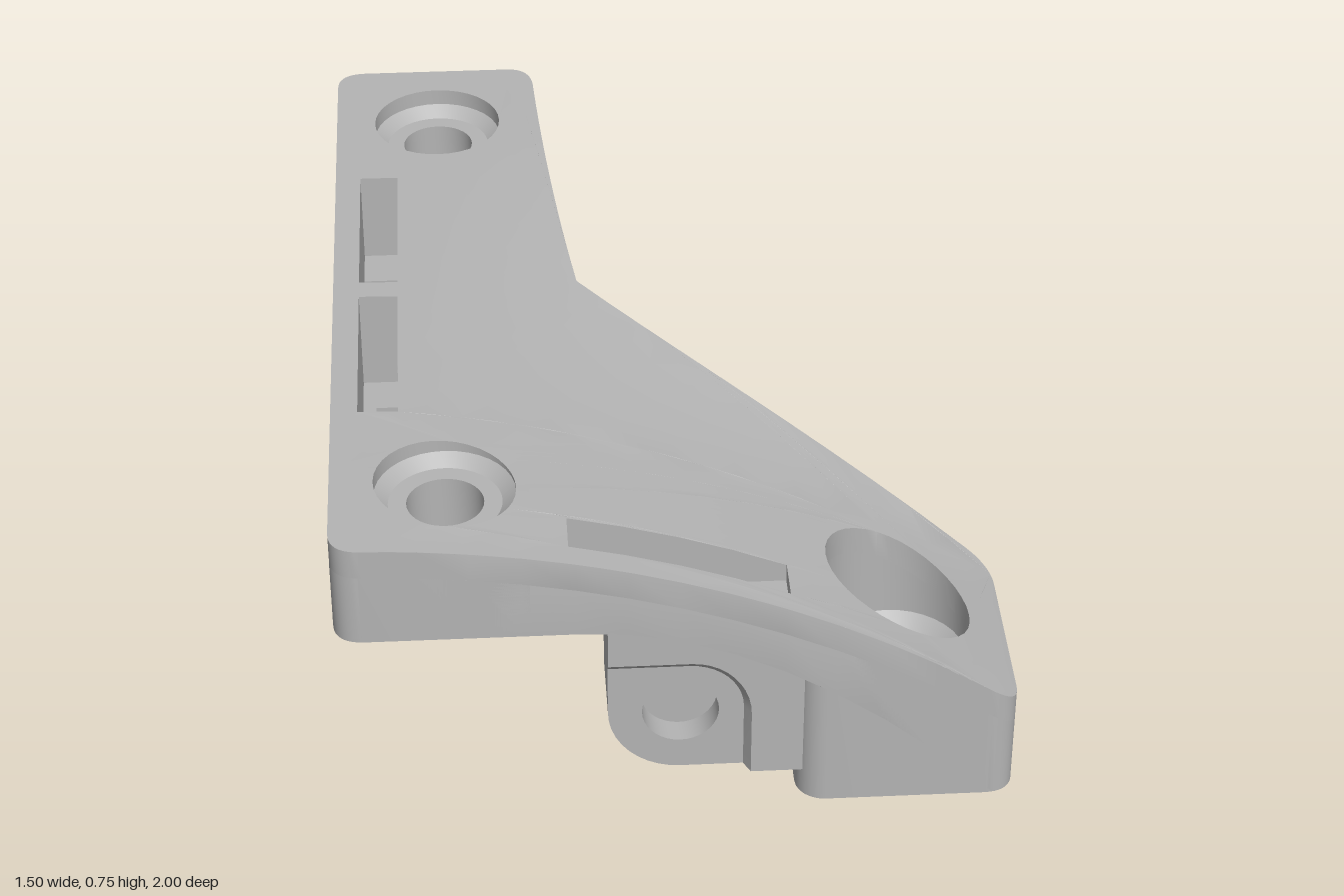
import * as THREE from 'three';
import { toCreasedNormals } from 'three/addons/utils/BufferGeometryUtils.js';

const V = (x, y) => new THREE.Vector2(x, y);
const STEP = 0.13, SKIN = 0.07, WALL = 0.04;
const { clamp, smoothstep } = THREE.MathUtils;

// Domed top surface, its inner ceiling, and the arched underside
const top = (x, z) => {
  const d = x + 0.75;
  const drop = 2.52 - Math.sqrt(2.52 * 2.52 - d * d);
  return 0.745 - drop * smoothstep(z, -0.8, 0.6);
};
const ceiling = (x, z) => top(x, z) - SKIN;
const under = (x) => 0.5 - 0.5 * Math.pow(clamp((x + 0.2) / 0.9, 0, 1), 1.85);

// Plan outlines, as points (x, z)
const circle = (cx, cz, r, n = 36) => Array.from({ length: n }, (_, i) =>
  V(cx + r * Math.cos(i / n * Math.PI * 2), cz + r * Math.sin(i / n * Math.PI * 2)));
const rect = (x0, z0, x1, z1) => [V(x0, z0), V(x1, z0), V(x1, z1), V(x0, z1)];
function roundRect(x0, z0, x1, z1, r) {
  const pts = [];
  [[x1 - r, z1 - r], [x0 + r, z1 - r], [x0 + r, z0 + r], [x1 - r, z0 + r]].forEach(([cx, cz], k) => {
    for (let i = 0; i <= 6; i++) {
      const a = (k + i / 6) * Math.PI / 2;
      pts.push(V(cx + r * Math.cos(a), cz + r * Math.sin(a)));
    }
  });
  return pts;
}
function bracketOutline() {
  const s = new THREE.Shape();
  s.moveTo(-0.68, -1).lineTo(-0.32, -1);
  s.quadraticCurveTo(-0.26, -1, -0.255, -0.92);
  s.quadraticCurveTo(-0.235, -0.45, -0.18, -0.06);
  s.quadraticCurveTo(0.15, 0.3, 0.69, 0.49);
  s.quadraticCurveTo(0.75, 0.51, 0.75, 0.57);
  s.lineTo(0.75, 0.93).quadraticCurveTo(0.75, 1, 0.68, 1);
  s.lineTo(-0.68, 1).quadraticCurveTo(-0.75, 1, -0.75, 0.93);
  s.lineTo(-0.75, -0.93).quadraticCurveTo(-0.75, -1, -0.68, -1);
  const p = s.getPoints(10);
  if (p[0].distanceTo(p[p.length - 1]) < 1e-5) p.pop();
  return p;
}
// Shrinks a counter-clockwise outline by d
const inset = (pts, d) => pts.map((p, i) => {
  const a = pts[(i + pts.length - 1) % pts.length], b = pts[(i + 1) % pts.length];
  const t = b.clone().sub(a).normalize();
  return V(p.x - t.y * d, p.y + t.x * d);
});

// Solid between two height functions over a plan outline with holes
function slab(outer, holes, yTop, yBot) {
  const fn = (f) => (typeof f === 'function' ? f : () => f);
  const T = fn(yTop), B = fn(yBot), out = [];
  const fine = (pts, ccw) => {
    const p = THREE.ShapeUtils.isClockWise(pts) === ccw ? pts.slice().reverse() : pts;
    return p.flatMap((a, i) => {
      const b = p[(i + 1) % p.length], n = Math.ceil(a.distanceTo(b) / (STEP * 0.95));
      return Array.from({ length: n }, (_, k) => a.clone().lerp(b, k / n));
    });
  };
  const put = (p, f) => out.push(p.x, f(p.x, p.y), p.y);
  // Halve the longest edge until the caps can follow the curved heights
  const split = (a, b, c) => {
    const ab = a.distanceTo(b), bc = b.distanceTo(c), ca = c.distanceTo(a);
    const longest = Math.max(ab, bc, ca);
    if (longest > STEP) {
      const [p, q, r] = ab === longest ? [a, b, c] : bc === longest ? [b, c, a] : [c, a, b];
      const mid = p.clone().add(q).multiplyScalar(0.5);
      split(p, mid, r);
      split(mid, q, r);
      return;
    }
    put(a, B); put(b, B); put(c, B);
    put(a, T); put(c, T); put(b, T);
  };
  const contour = fine(outer, true), inner = holes.map((h) => fine(h, false));
  const all = [contour, ...inner].flat();
  THREE.ShapeUtils.triangulateShape(contour, inner).forEach(([a, b, c]) => split(all[a], all[b], all[c]));
  [contour, ...inner].forEach((ring) => ring.forEach((a, i) => {
    const b = ring[(i + 1) % ring.length];
    put(a, B); put(a, T); put(b, T);
    put(a, B); put(b, T); put(b, B);
  }));
  const g = new THREE.BufferGeometry();
  g.setAttribute('position', new THREE.Float32BufferAttribute(out, 3));
  return toCreasedNormals(g, 0.5);
}

export function createModel() {
  const model = new THREE.Group();
  model.name = 'cornerBracket';
  const grey = new THREE.MeshStandardMaterial({ color: 0xb4b4b4 });
  grey.name = 'grey plastic';
  const add = (name, geo, parent = model) => {
    const m = new THREE.Mesh(geo, grey);
    m.name = name;
    parent.add(m);
    return m;
  };

  const outline = bracketOutline();
  const screws = [
    { x: -0.5, z: -0.75, y: 0.5, r: 0.155 },
    { x: -0.5, z: 0.75, y: 0.5, r: 0.155 },
    { x: 0.5, z: 0.75, y: 0, r: 0.165 },
  ];
  const slots = [[-0.69, -0.49, -0.6, -0.03], [-0.69, 0.03, -0.6, 0.49], [-0.24, 0.84, 0.24, 0.94]];

  // Curved skin and the rim hanging below it
  add('topSkin', slab(outline, [...screws.map((s) => circle(s.x, s.z, s.r)), ...slots.map((s) => rect(...s))], top, ceiling));
  add('rim', slab(outline, [inset(outline, WALL)], ceiling, under));

  // Nut slot walls
  for (const [x0, z0, x1, z1] of slots) {
    const w = 0.035;
    add('slotWall', slab(rect(x0 - w, z0 - w, x1 + w, z1 + w), [rect(x0, z0, x1, z1)],
      (x, z) => top(x, z) - 0.01, 0.5));
  }

  // Screw pads: hollow frame, bored boss and four ribs each
  const pads = [[-0.75, -1, -0.26, -0.5], [-0.75, 0.5, -0.26, 1], [0.26, 0.51, 0.75, 1]];
  screws.forEach(({ x, z, y, r }, i) => {
    const [x0, z0, x1, z1] = pads[i];
    add('padFrame', slab(roundRect(x0, z0, x1, z1, 0.065),
      [roundRect(x0 + WALL, z0 + WALL, x1 - WALL, z1 - WALL, 0.03)], ceiling, y));
    const profile = y
      ? [[0.085, 0.5], [0.13, 0.5], [0.13, 0.64], [0.18, 0.66], [0.18, 0.69], [0.16, 0.705], [0.155, 0.705], [0.125, 0.68], [0.085, 0.68], [0.085, 0.5]]
      : [[0.085, 0], [0.13, 0], [0.13, 0.12], [0.2, 0.14], [0.2, 0.2], [0.165, 0.2], [0.125, 0.16], [0.085, 0.16], [0.085, 0]];
    const boss = new THREE.LatheGeometry(profile.map((p) => V(...p)), 36);
    add('screwBoss', toCreasedNormals(boss, 0.5)).position.set(x, 0, z);
    if (!y) add('counterboreWall', slab(circle(x, z, 0.2), [circle(x, z, r)], (a, b) => top(a, b) - 0.004, 0.19));
    for (const [dx, dz] of [[1, 0], [-1, 0], [0, 1], [0, -1]]) {
      const rib = new THREE.BoxGeometry(dx ? 0.1 : 0.035, 0.14, dz ? 0.1 : 0.035);
      add('padRib', rib).position.set(x + dx * 0.17, y + 0.09, z + dz * 0.17);
    }
  });

  // Stiffening rings and ribs on the underside
  const ribBottom = (x, z) => Math.min(under(x) + 0.015, ceiling(x, z) - 0.01);
  const nodes = [[-0.14, 0.38, 0.1], [-0.25, -0.02, 0.065], [0.12, 0.56, 0.065], [-0.42, 0.25, 0.065], [-0.42, -0.28, 0.065]];
  for (const [x, z, r] of nodes) {
    add('stiffeningRing', slab(circle(x, z, r, 28), [circle(x, z, r - 0.03, 28)], ceiling, ribBottom));
  }
  const ribs = [[0, 1], [0, 2], [0, 3], [1, 3], [1, 4], [3, 4]].map(([a, b]) => [nodes[a], nodes[b]]);
  ribs.push([nodes[0], [-0.3, 0.62, 0]], [nodes[0], [0.08, 0.2, 0]], [nodes[2], [0.28, 0.7, 0]],
    [nodes[2], [0.28, 0.38, 0]], [nodes[2], [0.02, 0.82, 0]], [nodes[4], [-0.47, -0.52, 0]],
    [nodes[4], [-0.24, -0.45, 0]], [nodes[3], [-0.47, 0.52, 0]]);
  for (const [a, b] of ribs) {
    const p = V(a[0], a[1]), q = V(b[0], b[1]), t = q.clone().sub(p).normalize();
    p.addScaledVector(t, Math.max(0, a[2] - 0.015));
    q.addScaledVector(t, -Math.max(0, b[2] - 0.015));
    const n = V(-t.y, t.x).multiplyScalar(0.014);
    add('underRib', slab([p.clone().add(n), q.clone().add(n), q.clone().sub(n), p.clone().sub(n)], [], ceiling, ribBottom));
  }

  // Mounting lug in layers: relieved face, plate, nut pocket, back plate
  function lug(name, side, end) {
    const g = new THREE.Group();
    g.name = name;
    const layer = (part, pts, z0, z1, bore) => {
      const shape = new THREE.Shape(pts.map(([x, y]) => V(x * side, y)));
      if (bore) shape.holes.push(new THREE.Path(circle(0, 0.25, 0.085)));
      const geo = new THREE.ExtrudeGeometry(shape, { depth: z1 - z0, bevelEnabled: false });
      geo.translate(0, 0, z0);
      return add(part, toCreasedNormals(geo, 0.5), g).geometry;
    };
    const arc = (cx, cy, r, a0, a1, n = 10) => Array.from({ length: n + 1 }, (_, i) => {
      const a = (a0 + (a1 - a0) * i / n) * Math.PI;
      return [cx + r * Math.cos(a), cy + r * Math.sin(a)];
    });
    const plate = [[-0.16, 0.5], ...arc(0, 0.25, 0.16, 1, 1.5), [end, 0.09], [end, 0.5]];
    const face = layer('lugFace', [[-0.16, 0.5], [-0.16, 0.375], ...arc(0.02, 0.255, 0.12, 0.5, 0),
      [0.14, 0.09], [end, 0.09], [end, 0.5]], -0.03, 0);
    // Chamfer the edge of the relief by spreading its outer face
    const p = face.attributes.position;
    for (let i = 0; i < p.count; i++) {
      const x = p.getX(i) * side, y = p.getY(i);
      if (p.getZ(i) < -0.01 || x > 0.141 || y > 0.38) continue;
      if (x > 0) p.setX(i, side * (x + 0.015 * x / 0.14));
      if (y > 0.25) p.setY(i, y + 0.03 * (y - 0.25) / 0.125);
    }
    toCreasedNormals(face, 0.5);
    layer('lugPlate', plate, -0.09, -0.03, true);
    layer('nutPocket', [[-0.16, 0.5], [-0.16, 0.25], [-0.1, 0.125], [end, 0.125], [end, 0.5],
      [0.115, 0.5], [0.115, 0.14], [-0.115, 0.14], [-0.115, 0.5]], -0.16, -0.09);
    layer('lugBack', plate, -0.21, -0.16, true);
    add('slotFloor', new THREE.BoxGeometry(0.13, 0.02, 0.12), g).position.set(-0.19 * side, 0.51, -0.11);
    model.add(g);
    return g;
  }
  lug('frontLug', 1, 0.27).position.set(0, 0, 1);
  for (const s of [1, -1]) {
    const l = lug(s > 0 ? 'sideLugBack' : 'sideLugFront', s, 0.25);
    l.position.set(-0.75, 0, -0.25 * s);
    l.rotation.y = -Math.PI / 2;
  }
  return model;
}
